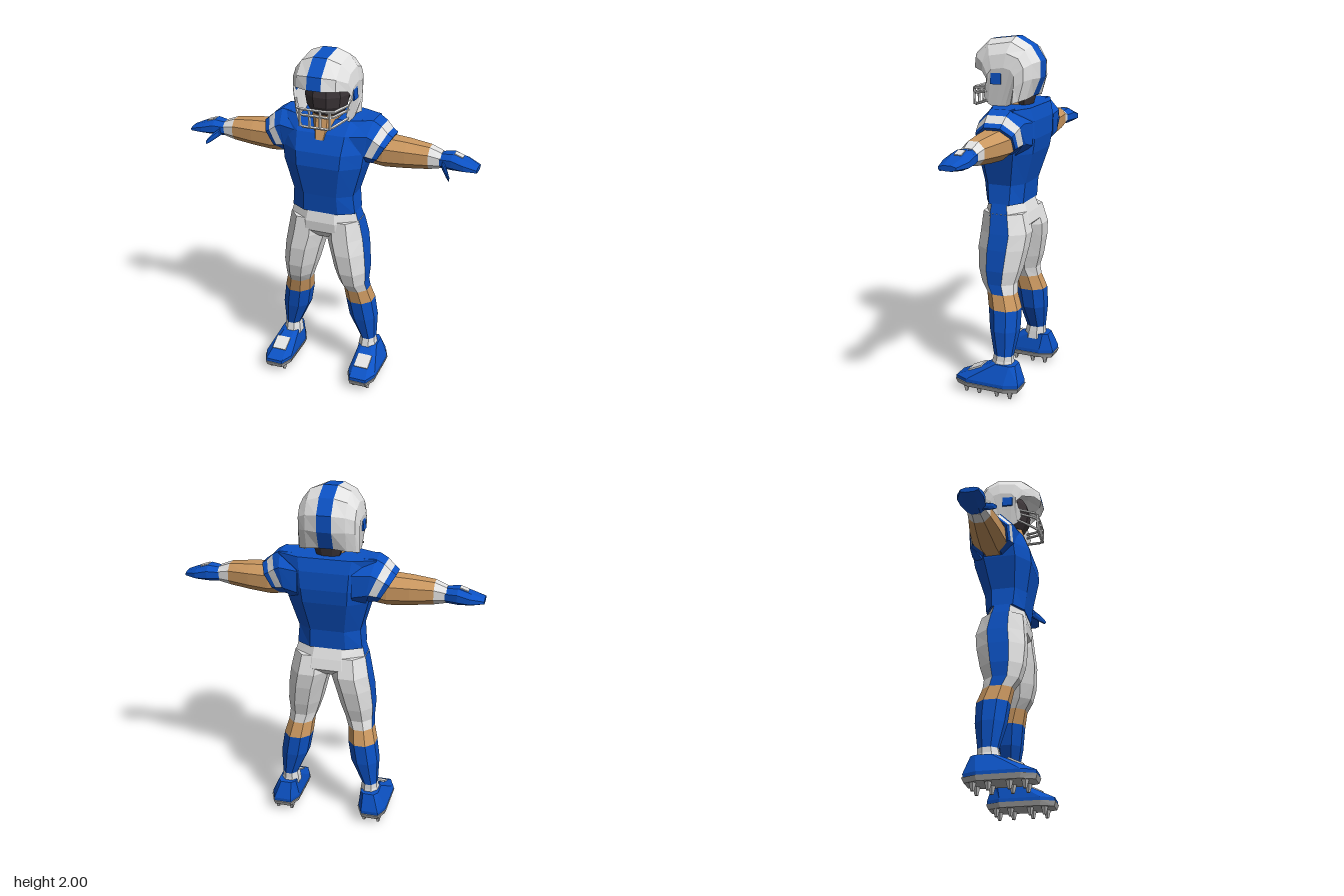
import * as THREE from 'three';

const material = (name, color, side = THREE.FrontSide) =>
  new THREE.MeshStandardMaterial({ name, color, side, flatShading: true });

const blue = material('team blue', 0x0c52c4, THREE.DoubleSide);
const white = material('white', 0xe2e2e2, THREE.DoubleSide);
const skin = material('skin', 0xcb9860);
const dark = material('dark face', 0x3c3538);
const grey = material('sole grey', 0xb4b4b4);

const V = (x, y, z) => new THREE.Vector3(x, y, z);

// Eight-sided outline filling a box; c sets how square it is. Side 0 is +u, side 2 is +v.
function octagon(u0, u1, v0, v1, c, place) {
  const corners = [[1, -c], [1, c], [c, 1], [-c, 1], [-1, c], [-1, -c], [-c, -1], [c, -1]];
  return corners.map(([u, v]) =>
    place((u0 + u1) / 2 + u * (u1 - u0) / 2, (v0 + v1) / 2 + v * (v1 - v0) / 2));
}
// Level ring for upright parts
const level = (s, y, x0, x1, z0, z1, c = 0.42) =>
  octagon(x0, x1, z0, z1, c, (x, z) => V(s * x, y, z));
// Upright ring for arms; lean pushes the top outward
const across = (s, x, y0, y1, z0, z1, lean = 0) =>
  octagon(y0, y1, z0, z1, 0.45, (y, z) => V(s * (x + lean * (y - (y0 + y1) / 2)), y, z));

function meshFrom(name, lists, mats) {
  const geometry = new THREE.BufferGeometry();
  geometry.setFromPoints(lists.flat());
  let start = 0;
  lists.forEach((list, i) => {
    if (list.length) geometry.addGroup(start, list.length, i);
    start += list.length;
  });
  geometry.computeVertexNormals();
  const mesh = new THREE.Mesh(geometry, mats);
  mesh.name = name;
  return mesh;
}

// Closed skin through rings; pick(segment, side) chooses the material
function loft(name, rings, mats, pick = () => 0) {
  const lists = mats.map(() => []);
  const n = rings[0].length, last = rings.length - 1;
  for (let r = 0; r < last; r++) for (let i = 0; i < n; i++) {
    const j = (i + 1) % n;
    const a = rings[r][i], b = rings[r][j], c = rings[r + 1][j], d = rings[r + 1][i];
    lists[pick(r, i)].push(a, b, c, a, c, d);
  }
  for (let i = 1; i < n - 1; i++) {
    lists[pick(0, -1)].push(rings[0][0], rings[0][i + 1], rings[0][i]);
    lists[pick(last - 1, -1)].push(rings[last][0], rings[last][i], rings[last][i + 1]);
  }
  // Turn the skin outward if its volume is negative
  let volume = 0;
  for (const l of lists) for (let k = 0; k < l.length; k += 3)
    volume += l[k].dot(l[k + 1].clone().cross(l[k + 2]));
  if (volume < 0) for (const l of lists) for (let k = 0; k < l.length; k += 3)
    [l[k + 1], l[k + 2]] = [l[k + 2], l[k + 1]];
  return meshFrom(name, lists, mats);
}

function plate(name, size, position, mat) {
  const mesh = new THREE.Mesh(new THREE.BoxGeometry(...size), mat);
  mesh.position.set(...position);
  mesh.name = name;
  return mesh;
}

function makeBody() {
  const g = new THREE.Group();
  g.name = 'body';
  const torso = [[1.09, .185, -.12, .1], [1.2, .175, -.13, .115], [1.38, .225, -.185, .147],
    [1.46, .235, -.198, .14], [1.56, .25, -.198, .1], [1.632, .27, -.18, .04]];
  g.add(loft('jersey', torso.map(([y, w, b, f]) => level(1, y, -w, w, b, f, .55)), [blue]));
  const hips = [[1.1, .183, -.115, .095], [1.03, .203, -.14, .11], [.97, .212, -.155, .105], [.92, .06, -.1, .06]];
  g.add(loft('hips', hips.map(([y, w, b, f]) => level(1, y, -w, w, b, f)), [white, blue],
    (r, i) => (r < 2 && (i === 0 || i === 4) ? 1 : 0)));
  const neck = [[1.53, .05, -.1, .118], [1.6, .075, -.1, .092], [1.7, .075, -.1, .06]];
  g.add(loft('neck', neck.map(([y, w, b, f]) => level(1, y, -w, w, b, f)), [skin]));
  const hair = [[1.62, .06, -.125, -.06], [1.72, .09, -.15, -.04]];
  g.add(loft('hair', hair.map(([y, w, b, f]) => level(1, y, -w, w, b, f)), [dark]));
  return g;
}

function makeArm(s) {
  const g = new THREE.Group();
  g.name = s > 0 ? 'leftArm' : 'rightArm';
  const sleeve = [[.15, 1.36, 1.63, -.195, .09, 0], [.24, 1.38, 1.635, -.19, .07, .2],
    [.262, 1.39, 1.608, -.178, .066, .45], [.3, 1.39, 1.572, -.165, .06, .5], [.325, 1.39, 1.552, -.16, .05, .6]];
  g.add(loft('sleeve', sleeve.map(p => across(s, ...p)), [blue, white],
    (r, i) => (r === 2 && ![3, 4, 5].includes(i) ? 1 : 0)));
  const arm = [[.22, 1.39, 1.54, -.14, .035], [.33, 1.377, 1.54, -.15, .04], [.45, 1.385, 1.533, -.135, .03],
    [.575, 1.397, 1.52, -.11, .012], [.64, 1.41, 1.495, -.1, 0]];
  g.add(loft('forearm', arm.map(p => across(s, ...p)), [skin, white], r => (r === 3 ? 1 : 0)));
  const hand = [[.63, 1.412, 1.49, -.1, 0], [.7, 1.41, 1.5, -.12, .015], [.77, 1.412, 1.476, -.12, .022],
    [.84, 1.42, 1.448, -.085, .012]];
  g.add(loft('glove', hand.map(p => across(s, ...p)), [blue]));
  const thumb = [[.655, 1.42, 1.465, -.02, .02], [.69, 1.395, 1.435, .03, .06], [.71, 1.385, 1.408, .062, .08]];
  g.add(loft('thumb', thumb.map(p => across(s, ...p)), [blue]));
  const patch = plate('glovePatch', [.05, .008, .04], [s * .73, 1.491, -.05], white);
  patch.rotation.z = -s * .33;
  g.add(patch);
  return g;
}

function makeLeg(s) {
  const g = new THREE.Group();
  g.name = s > 0 ? 'leftLeg' : 'rightLeg';
  const leg = [[1.04, .005, .204, -.135, .1], [.93, .006, .226, -.165, .11], [.84, .032, .24, -.155, .118],
    [.72, .062, .25, -.13, .11], [.64, .088, .245, -.105, .088], [.585, .108, .25, -.11, .052],
    [.5, .115, .272, -.14, .035], [.38, .135, .29, -.14, .02], [.235, .2, .287, -.12, -.012],
    [.205, .195, .29, -.12, -.005], [.16, .19, .305, -.125, .005]];
  // Pants with a side stripe, bare knee, sock and ankle tape
  g.add(loft('leg', leg.map(p => level(s, ...p)), [white, blue, skin], (r, i) => {
    if (r < 5) return i === 0 ? 1 : 0;
    if (r === 5) return 2;
    return r < 8 ? 1 : 0;
  }));
  const shoe = [[.065, .185, .35, -.18, .2], [.09, .185, .35, -.182, .2], [.19, .2, .305, -.15, -.01]];
  g.add(loft('shoe', shoe.map(p => level(s, ...p, .6)), [blue]));
  const sole = [[.042, .19, .345, -.175, .195], [.07, .18, .355, -.187, .205]];
  g.add(loft('sole', sole.map(p => level(s, ...p, .6)), [grey]));
  const patch = plate('shoePatch', [.085, .009, .09], [s * .264, .145, .09], white);
  patch.rotation.x = .444;
  g.add(patch);
  // Cleats
  for (const x of [.225, .31]) for (const z of [.14, .06, -.05, -.13]) {
    const cleat = new THREE.Mesh(new THREE.CylinderGeometry(.022, .01, .05, 5), grey);
    cleat.position.set(s * x, .025, z);
    cleat.name = 'cleat';
    g.add(cleat);
  }
  return g;
}

function makeHelmet() {
  const g = new THREE.Group();
  g.name = 'helmet';
  // Half-shell profiles from brow to nape as [z, y], from the centre stripe outward to the jaw
  const profiles = [
    [.04, [[.198, 1.83], [.185, 1.9], [.1, 1.98], [-.05, 1.998], [-.14, 1.95], [-.193, 1.87], [-.192, 1.78], [-.15, 1.68]]],
    [.11, [[.165, 1.828], [.158, 1.89], [.085, 1.952], [-.05, 1.972], [-.13, 1.93], [-.17, 1.86], [-.172, 1.78], [-.14, 1.67]]],
    [.155, [[.1, 1.815], [.1, 1.86], [.06, 1.9], [-.04, 1.915], [-.11, 1.89], [-.14, 1.84], [-.14, 1.77], [-.11, 1.66]]],
    [.17, [[.065, 1.77], [.065, 1.8], [.04, 1.83], [-.03, 1.84], [-.07, 1.83], [-.09, 1.8], [-.09, 1.74], [-.08, 1.65]]],
    [.145, [[.09, 1.71], [.095, 1.68], [.07, 1.64], [.03, 1.622], [0, 1.622], [-.03, 1.63], [-.06, 1.64], [-.08, 1.65]]],
  ];
  const strip = (p, q) => {
    const out = [];
    for (let i = 0; i < p.length - 1; i++) out.push(p[i], p[i + 1], q[i + 1], p[i], q[i + 1], q[i]);
    return out;
  };
  const line = (s, [x, pts]) => pts.map(([z, y]) => V(s * x, y, z));
  const shell = [];
  for (const s of [1, -1]) for (let k = 0; k < profiles.length - 1; k++) {
    const a = line(s, profiles[k]), b = line(s, profiles[k + 1]);
    shell.push(...(s > 0 ? strip(b, a) : strip(a, b)));
  }
  g.add(meshFrom('shell', [shell], [white]));
  g.add(meshFrom('centreStripe', [strip(line(1, profiles[0]), line(-1, profiles[0]))], [blue]));
  // Ear patches
  for (const s of [1, -1]) {
    const ear = plate('earPatch', [.009, .07, .06], [s * .165, 1.785, .015], blue);
    ear.rotation.z = s * .1;
    g.add(ear);
  }
  // Head inside the shell
  const head = new THREE.Mesh(new THREE.SphereGeometry(1, 10, 8), dark);
  head.scale.set(.125, .15, .13);
  head.position.set(0, 1.765, -.01);
  head.name = 'face';
  g.add(head);
  // Face guard bars
  const bar = points => {
    const path = new THREE.CurvePath();
    for (let i = 1; i < points.length; i++) path.add(new THREE.LineCurve3(V(...points[i - 1]), V(...points[i])));
    const mesh = new THREE.Mesh(new THREE.TubeGeometry(path, 12, .008, 5), white);
    mesh.name = 'faceGuardBar';
    g.add(mesh);
  };
  const hoop = (y0, y1, w, z) => bar([[-.148, y0, .07], [-w, y1, z], [w, y1, z], [.148, y0, .07]]);
  hoop(1.73, 1.718, .1, .178);
  hoop(1.705, 1.688, .09, .182);
  hoop(1.66, 1.622, .08, .178);
  for (const x of [-.085, -.03, .03, .085]) bar([[x, 1.718, .18], [x, 1.622, .178]]);
  return g;
}

export function createModel() {
  const model = new THREE.Group();
  model.name = 'footballPlayer';
  model.add(makeBody(), makeHelmet());
  for (const s of [1, -1]) model.add(makeArm(s), makeLeg(s));
  return model;
}
